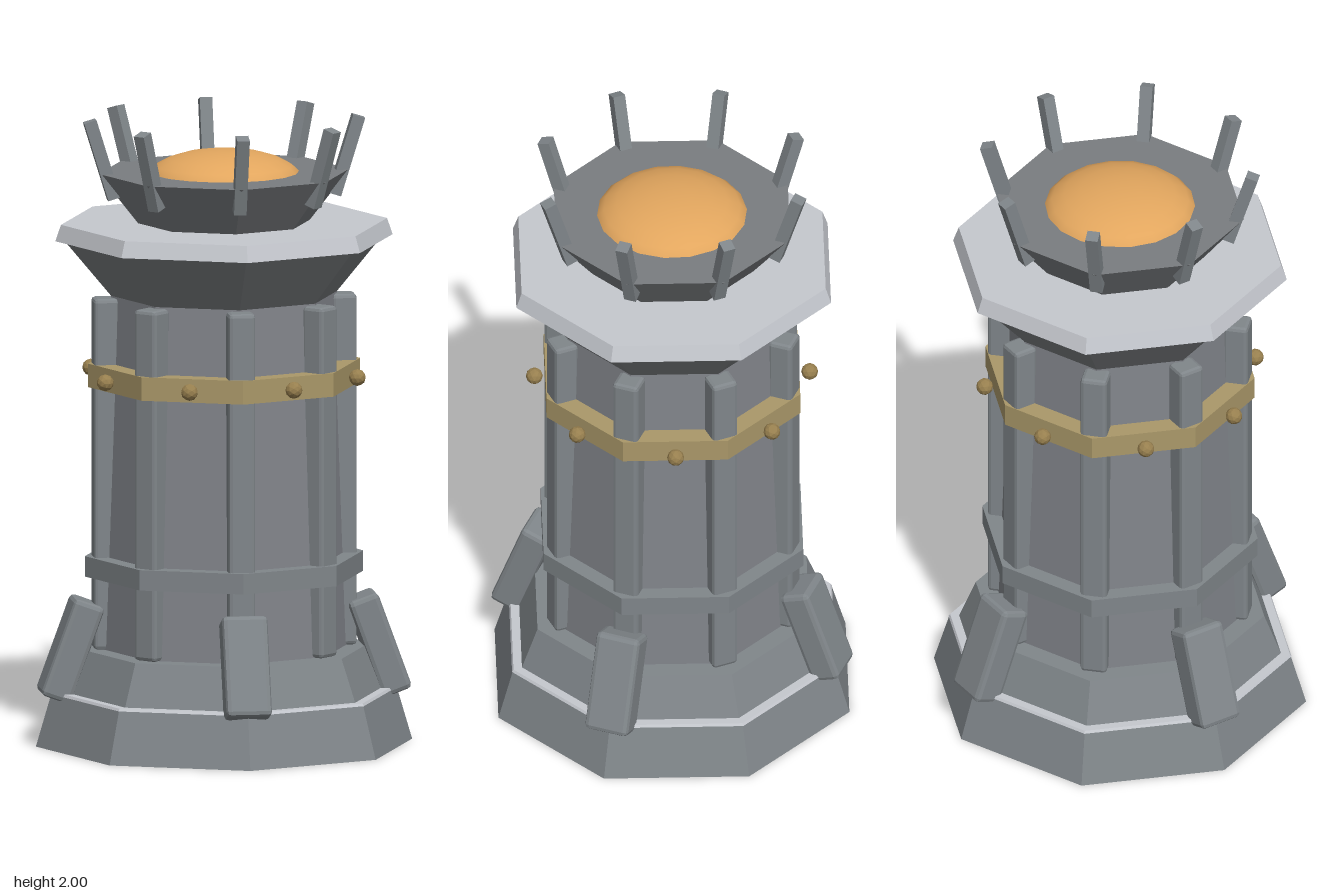
import * as THREE from 'three';
import { RoundedBoxGeometry } from 'three/addons/geometries/RoundedBoxGeometry.js';

const mat = (name, color, flatShading = true) => {
  const m = new THREE.MeshStandardMaterial({ color, flatShading });
  m.name = name;
  return m;
};

export function createModel() {
  const stone = mat('stone grey', 0x80868a);
  const shaftGrey = mat('shaft grey', 0x82858b);
  const iron = mat('dark iron', 0x7a7d80);
  const pale = mat('pale trim', 0xc5c8ce);
  const brass = mat('brass', 0xaa9869);
  const bolt = mat('bolt brass', 0x98804f);
  const amber = mat('amber', 0xe2a65e, false);

  const tower = new THREE.Group();
  tower.name = 'tower';

  const add = (parent, name, geometry, material) => {
    const mesh = new THREE.Mesh(geometry, material);
    mesh.name = name;
    parent.add(mesh);
    return mesh;
  };

  // Octagonal tier with a corner on each main axis
  const tier = (name, rBottom, rTop, y0, y1, material) => {
    const mesh = add(tower, name, new THREE.CylinderGeometry(rTop, rBottom, y1 - y0, 8), material);
    mesh.position.y = (y0 + y1) / 2;
    return mesh;
  };

  // Parts repeated around the axis; lean > 0 tips the top outward
  const around = (name, count, start, r, y, lean, geometry, material) => {
    const group = new THREE.Group();
    group.name = name + 's';
    for (let i = 0; i < count; i++) {
      const spoke = new THREE.Group();
      spoke.rotation.y = start + (i * Math.PI * 2) / count;
      const mesh = add(spoke, name, geometry, material);
      mesh.position.set(0, y, r);
      mesh.rotation.x = lean;
      group.add(spoke);
    }
    tower.add(group);
  };

  // Stepped base with a pale ledge
  tier('foundation', 0.6, 0.55, 0, 0.17, stone);
  tier('ledgeTrim', 0.553, 0.548, 0.167, 0.175, pale);
  tier('plinth', 0.52, 0.465, 0.172, 0.31, stone);

  // Shaft, ribs and bands
  tier('shaft', 0.4, 0.36, 0.3, 1.44, shaftGrey);
  around('rib', 8, 0, 0.379, 0.87, 0, new RoundedBoxGeometry(0.085, 1.12, 0.08, 1, 0.012), stone);
  tier('lowerBand', 0.444, 0.444, 0.54, 0.605, stone);
  tier('brassBand', 0.434, 0.434, 1.145, 1.22, brass);
  around('bolt', 8, Math.PI / 8, 0.435, 1.183, 0, new THREE.IcosahedronGeometry(0.027, 1), bolt);

  // Leaning buttress blocks on the diagonals
  around('buttress', 4, Math.PI / 4, 0.49, 0.31, -0.35,
    new RoundedBoxGeometry(0.145, 0.325, 0.1, 1, 0.015), stone);

  // Flared collar with a pale rim
  tier('collar', 0.36, 0.51, 1.435, 1.615, iron);
  tier('collarRim', 0.538, 0.52, 1.613, 1.665, pale);

  // Bowl, glowing dome and prongs
  tier('bowl', 0.27, 0.4, 1.66, 1.825, iron);
  const dome = add(tower, 'dome', new THREE.SphereGeometry(0.25, 18, 12), amber);
  dome.position.y = 1.795;
  dome.scale.y = 0.4;
  around('prong', 8, 0, 0.39, 1.87, 0.3, new THREE.BoxGeometry(0.04, 0.26, 0.04), stone);

  return tower;
}
